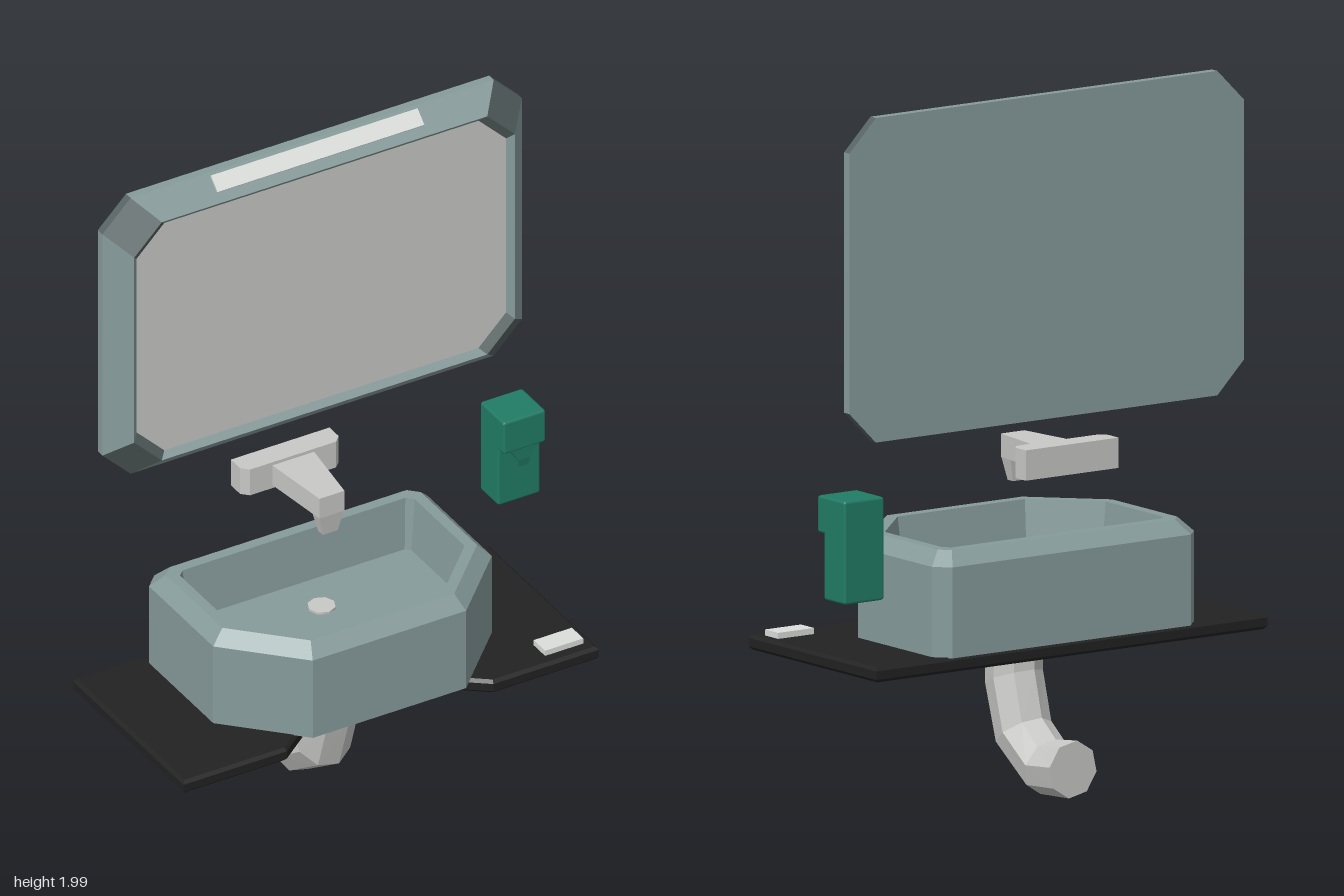
import * as THREE from 'three';
import { RoundedBoxGeometry } from 'three/addons/geometries/RoundedBoxGeometry.js';

const mat = (name, color) => {
  const m = new THREE.MeshStandardMaterial({ color });
  m.name = name;
  return m;
};
const V = (x, y, z) => new THREE.Vector3(x, y, z);

// Flat-faced skin over rings of points, counter-clockwise seen from the far end
function loft(rings, { start = true, end = true, keep = () => true } = {}) {
  const pts = [];
  const n = rings[0].length;
  for (let r = 0; r < rings.length - 1; r++) {
    const a = rings[r], b = rings[r + 1];
    for (let i = 0; i < n; i++) {
      if (!keep(i)) continue;
      const j = (i + 1) % n;
      pts.push(a[i], a[j], b[j], a[i], b[j], b[i]);
    }
  }
  const first = rings[0], last = rings[rings.length - 1];
  for (let i = 1; i < n - 1; i++) {
    if (start) pts.push(first[0], first[i + 1], first[i]);
    if (end) pts.push(last[0], last[i], last[i + 1]);
  }
  const g = new THREE.BufferGeometry().setFromPoints(pts);
  g.computeVertexNormals();
  return g;
}

// Horizontal slab from an (x, z) outline, with a small bevel
function slab(outline, y0, y1, bevel) {
  const shape = new THREE.Shape(outline.map(([x, z]) => new THREE.Vector2(x, -z)));
  const g = new THREE.ExtrudeGeometry(shape, {
    depth: y1 - y0 - 2 * bevel, bevelEnabled: bevel > 0, bevelSize: bevel,
    bevelThickness: bevel, bevelOffset: -bevel, bevelSegments: 1,
  });
  return g.rotateX(-Math.PI / 2).translate(0, y0 + bevel, 0);
}

export function createModel() {
  const root = new THREE.Group();
  root.name = 'washstand';
  const slate = mat('slate', 0x879b9b);
  const darkSlate = mat('darkSlate', 0x566362);
  const grey = mat('lightGrey', 0xc8c8c6);
  const white = mat('offWhite', 0xdcdedc);
  const black = mat('black', 0x222222);
  const green = mat('green', 0x217c66);
  const add = (name, geo, material, parent = root) => {
    const m = new THREE.Mesh(geo, material);
    m.name = name;
    parent.add(m);
    return m;
  };
  const group = (name) => {
    const g = new THREE.Group();
    g.name = name;
    root.add(g);
    return g;
  };

  // Mirror: eight-sided bevelled frame, darker corners, recessed glass
  const mirror = group('mirror');
  const frameRing = (d, z, c) => {
    const x0 = -0.64 + d, x1 = 0.70 - d, y0 = 1.09 + d, y1 = 2 - d;
    return [V(x0 + c, y0, z), V(x1 - c, y0, z), V(x1, y0 + c, z), V(x1, y1 - c, z),
      V(x1 - c, y1, z), V(x0 + c, y1, z), V(x0, y1 - c, z), V(x0, y0 + c, z)];
  };
  const frame = [frameRing(0, -0.30, 0.09), frameRing(0, -0.275, 0.09),
    frameRing(0.062, -0.208, 0.088), frameRing(0.08, -0.225, 0.088)];
  add('mirrorFrame', loft(frame, { end: false, keep: (i) => i % 2 === 0 }), slate, mirror);
  add('frameCorners', loft(frame, { start: false, end: false, keep: (i) => i % 2 === 1 }), darkSlate, mirror);
  add('mirrorGlass', loft([frame[3], frame[3]], { start: false, keep: () => false }), grey, mirror);
  const lamp = add('mirrorLamp', new THREE.BoxGeometry(0.66, 0.05, 0.008), white, mirror);
  lamp.position.set(0.03, 1.977, -0.248);
  lamp.rotation.x = -Math.atan2(0.067, 0.062);

  // Countertop, notched at the front under the basin
  add('countertop', slab([[-0.72, -0.30], [0.608, -0.30], [0.608, 0.30], [0.27, 0.30],
    [0.14, 0.20], [-0.26, 0.20], [-0.39, 0.30], [-0.72, 0.30]], 0.415, 0.457, 0.009), black);

  // Basin: outer wall, bevelled rim, inner wall and floor
  const basin = group('basin');
  const basinRing = (d, y) => {
    const x0 = -0.5 + d, x1 = 0.39 - d, zb = -0.30 + d, zf = 0.288 - d;
    const c = 0.2 - 0.586 * d, b = Math.max(0.012, 0.04 - 0.3 * d);
    return [V(x1, y, zf - c), V(x1, y, zb + b), V(x1 - b, y, zb), V(x0 + b, y, zb),
      V(x0, y, zb + b), V(x0, y, zf - c), V(x0 + c, y, zf), V(x1 - c, y, zf)];
  };
  add('basinBowl', loft([basinRing(0, 0.455), basinRing(0, 0.71), basinRing(0.038, 0.75),
    basinRing(0.07, 0.75), basinRing(0.088, 0.595)]), slate, basin);
  add('drain', new THREE.CylinderGeometry(0.04, 0.04, 0.008, 8), grey, basin).position.set(-0.055, 0.598, -0.08);

  // Tap: wall plate, tapering spout and nozzle
  const tap = group('tap');
  add('tapPlate', slab([[-0.215, -0.30], [0.10, -0.30], [0.10, -0.25], [0.08, -0.23],
    [-0.195, -0.23], [-0.215, -0.25]], 0.925, 1.01, 0), grey, tap);
  const armRing = (w, y0, y1, z) => [V(-0.057 - w, y0, z), V(-0.057 + w, y0, z),
    V(-0.057 + w, y1, z), V(-0.057 - w, y1, z)];
  add('spout', loft([armRing(0.068, 0.935, 1.0, -0.24), armRing(0.04, 0.935, 1.0, -0.02)]), grey, tap);
  const tipRing = (w, y, z0, z1) => [V(-0.057 - w, y, z0), V(-0.057 + w, y, z0),
    V(-0.057 + w, y, z1), V(-0.057 - w, y, z1)];
  add('nozzle', loft([tipRing(0.04, 0.94, -0.065, -0.02), tipRing(0.024, 0.87, -0.055, -0.03)]), grey, tap);

  // Drain pipe: eight-sided rings curving back to the wall
  // Each row: z and y of the outer edge, then of the inner edge
  const bends = [[0.056, 0.42, -0.10, 0.42], [0.056, 0.29, -0.10, 0.345],
    [0, 0.12, -0.135, 0.215], [-0.165, 0.008, -0.2, 0.165], [-0.30, 0.016, -0.30, 0.178]];
  const pipe = bends.map(([za, ya, zb, yb]) => {
    const ring = [];
    for (let i = 0; i < 8; i++) {
      const a = i * Math.PI / 4 - Math.PI / 18, k = Math.cos(a) / 2;
      ring.push(V(-0.06 - 0.081 * Math.sin(a), (ya + yb) / 2 + k * (ya - yb), (za + zb) / 2 + k * (za - zb)));
    }
    return ring.reverse();
  });
  // Order each ring so that the skin faces outward
  pipe.forEach((r) => r.reverse());
  const facesOut = () => {
    const [p, q] = pipe[0];
    const out = p.clone().add(q).sub(V(-0.12, 0.84, -0.044));
    return q.clone().sub(p).cross(pipe[1][0].clone().sub(p)).dot(out) > 0;
  };
  if (!facesOut()) pipe.forEach((r) => r.reverse());
  add('drainPipe', loft(pipe), grey);

  // Soap dispenser: body, overhanging head and push lever
  const dispenser = group('soapDispenser');
  const block = (name, x0, x1, y0, y1, z0, z1) => {
    const g = new RoundedBoxGeometry(x1 - x0, y1 - y0, z1 - z0, 1, 0.008);
    add(name, g, green, dispenser).position.set((x0 + x1) / 2, (y0 + y1) / 2, (z0 + z1) / 2);
  };
  block('dispenserBody', 0.58, 0.716, 0.645, 0.9, -0.30, -0.20);
  block('dispenserHead', 0.58, 0.716, 0.83, 0.935, -0.30, -0.17);
  const leverRing = (w, y, z0, z1) => [V(0.648 - w, y, z0), V(0.648 + w, y, z0),
    V(0.648 + w, y, z1), V(0.648 - w, y, z1)];
  add('dispenserLever', loft([leverRing(0.045, 0.835, -0.195, -0.172), leverRing(0.02, 0.795, -0.19, -0.174),
    leverRing(0.016, 0.77, -0.185, -0.178)]), green, dispenser);

  // Bar of soap on the counter
  add('soapBar', new THREE.BoxGeometry(0.122, 0.02, 0.062), white).position.set(0.518, 0.464, 0.232);

  return root;
}
